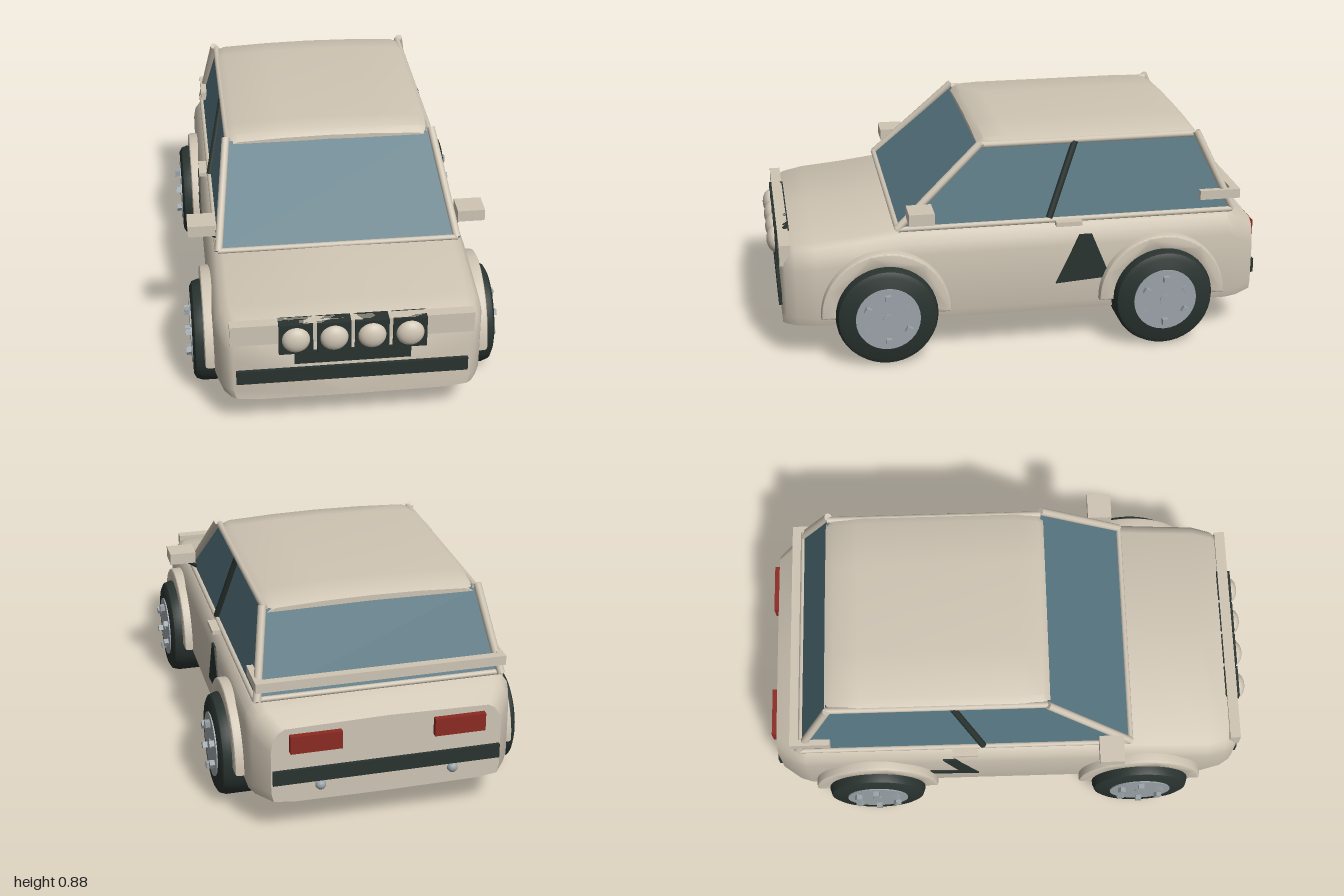
import * as THREE from 'three';
import { toCreasedNormals } from 'three/addons/utils/BufferGeometryUtils.js';

const mat = (name, color) => new THREE.MeshStandardMaterial({ name, color });

// Skin a list of cross-sections (front to back), each a right half outline from bottom to top
function loft(sections, crease) {
  const rings = sections.map(({ z, half }) => {
    const left = half.slice(1, -1).reverse().map(([x, y]) => [-x, y]);
    return [...half, ...left].map(([x, y]) => [x, y, z]);
  });
  const n = rings[0].length, pos = [], idx = [];
  rings.forEach((r) => r.forEach((p) => pos.push(...p)));
  for (let i = 0; i < rings.length - 1; i++) {
    for (let j = 0; j < n; j++) {
      const a = i * n + j, b = i * n + (j + 1) % n;
      idx.push(a, a + n, b, b, a + n, b + n);
    }
  }
  const last = (rings.length - 1) * n;
  for (let j = 1; j < n - 1; j++) {
    idx.push(0, j, j + 1, last, last + j + 1, last + j);
  }
  const g = new THREE.BufferGeometry();
  g.setAttribute('position', new THREE.Float32BufferAttribute(pos, 3));
  g.setIndex(idx);
  return toCreasedNormals(g, crease);
}

export function createModel() {
  const car = new THREE.Group();
  car.name = 'car';
  const paint = mat('cream paint', 0xcfc5b4);
  const glass = mat('blue glass', 0x567681);
  const dark = mat('dark rubber', 0x29332f);
  const metal = mat('grey metal', 0x9ca4a9);
  const red = mat('red lens', 0x8c2a23);

  const add = (name, geometry, material, parent = car) => {
    const m = new THREE.Mesh(geometry, material);
    m.name = name;
    parent.add(m);
    return m;
  };
  // Box given by its lower and upper corners
  const box = (name, material, [x0, y0, z0], [x1, y1, z1]) => {
    const g = new THREE.BoxGeometry(x1 - x0, y1 - y0, z1 - z0);
    return add(name, g.translate((x0 + x1) / 2, (y0 + y1) / 2, (z0 + z1) / 2), material);
  };
  // Round bar between two points
  const bar = (name, material, from, to, radius) => {
    const a = new THREE.Vector3(...from), b = new THREE.Vector3(...to);
    const dir = b.clone().sub(a);
    const m = add(name, new THREE.CylinderGeometry(radius, radius, dir.length(), 10), material);
    m.position.copy(a).add(b).multiplyScalar(0.5);
    m.quaternion.setFromUnitVectors(new THREE.Vector3(0, 1, 0), dir.normalize());
  };

  // Lower body: z, half width, top height
  const bodyRows = [
    [0.955, 0.455, 0.435], [0.94, 0.475, 0.465], [0.9, 0.5, 0.482], [0.82, 0.52, 0.493],
    [0.65, 0.522, 0.508], [0.46, 0.522, 0.532], [0, 0.522, 0.532], [-0.85, 0.522, 0.532],
    [-0.9, 0.505, 0.505], [-0.975, 0.45, 0.46],
  ];
  add('body', loft(bodyRows.map(([z, w, t]) => ({
    z,
    half: [[0, 0.14], [w * 0.8, 0.143], [w * 0.98, 0.153], [w, 0.19], [w, t - 0.1],
      [w * 0.985, t - 0.055], [w * 0.94, t - 0.02], [w * 0.88, t - 0.004], [0, t + 0.004]],
  })), 0.65), paint);
  box('floorPan', dark, [-0.355, 0.115, -0.83], [0.355, 0.15, 0.815]);

  // Glasshouse: a tapered box
  const cabin = new THREE.BoxGeometry(2, 1, 2);
  const p = cabin.attributes.position;
  for (let i = 0; i < p.count; i++) {
    const top = p.getY(i) > 0, front = p.getZ(i) > 0;
    p.setXYZ(i, Math.sign(p.getX(i)) * (top ? 0.41 : 0.48), top ? 0.835 : 0.525,
      front ? (top ? 0.15 : 0.5) : (top ? -0.73 : -0.865));
  }
  cabin.computeVertexNormals();
  add('windows', cabin, glass);

  // Crowned roof
  const roofRows = [[0.16, 0.412, 0.846], [0.135, 0.418, 0.868], [0.05, 0.42, 0.875],
    [-0.6, 0.42, 0.875], [-0.7, 0.418, 0.868], [-0.735, 0.412, 0.85]];
  add('roof', loft(roofRows.map(([z, w, t]) => ({
    z, half: [[0, 0.828], [w, 0.828], [w * 0.985, t - 0.027], [w * 0.9, t - 0.012], [w * 0.45, t - 0.003], [0, t]],
  })), 0.7), paint);

  // Cross rails at the foot of the front and rear screens
  bar('windscreenSill', paint, [-0.48, 0.533, 0.495], [0.48, 0.533, 0.495], 0.011);
  bar('rearScreenSill', paint, [-0.48, 0.533, -0.865], [0.48, 0.533, -0.865], 0.011);

  // Side graphics differ from left to right
  const graphics = {
    1: [[0.23, 0.477], [0.28, 0.477], [0.345, 0.32], [0.34, 0.287], [0.135, 0.273]],
    '-1': [[0.23, 0.477], [0.28, 0.477], [0.215, 0.311], [0.345, 0.32], [0.34, 0.287], [0.135, 0.273]],
  };

  // Half-ring wheel arch
  const arch = new THREE.Shape();
  arch.absarc(0, 0, 0.25, 0, Math.PI, false);
  arch.absarc(0, 0, 0.205, Math.PI, 0, true);
  const archGeo = toCreasedNormals(new THREE.ExtrudeGeometry(arch, {
    depth: 0.08, bevelEnabled: true, bevelSize: 0.008, bevelThickness: 0.012, bevelSegments: 2, curveSegments: 28,
  }).rotateY(Math.PI / 2).translate(-0.04, 0, 0), 0.6);

  // Tyre profile turned about the axle
  const tyreGeo = toCreasedNormals(new THREE.LatheGeometry(
    [[0, -0.09], [0.175, -0.09], [0.194, -0.08], [0.203, -0.055], [0.203, 0.055], [0.194, 0.08], [0.175, 0.09], [0, 0.09]]
      .map(([r, y]) => new THREE.Vector2(r, y)), 40).rotateZ(-Math.PI / 2), 0.6);
  const hubGeo = new THREE.CylinderGeometry(0.128, 0.128, 0.02, 32).rotateZ(-Math.PI / 2);
  const capGeo = new THREE.CylinderGeometry(0.022, 0.022, 0.02, 12).rotateZ(-Math.PI / 2);
  const boltGeo = new THREE.BoxGeometry(0.03, 0.024, 0.024);

  for (const s of [1, -1]) {
    for (const z of [0.55, -0.57]) {
      const wheel = new THREE.Group();
      wheel.name = 'wheel';
      add('tyre', tyreGeo, dark, wheel);
      add('hub', hubGeo, metal, wheel).position.x = 0.085;
      add('hubCap', capGeo, metal, wheel).position.x = 0.09;
      for (let k = 0; k < 6; k++) {
        const a = Math.PI / 2 + k * Math.PI / 3;
        const bolt = add('wheelBolt', boltGeo, metal, wheel);
        bolt.position.set(0.1, 0.092 * Math.sin(a), 0.092 * Math.cos(a));
        bolt.rotation.x = -a;
      }
      wheel.position.set(s * 0.51, 0.203, z);
      if (s < 0) wheel.rotation.y = Math.PI;
      car.add(wheel);
      add('wheelArch', archGeo, paint).position.set(s * 0.505, 0.203, z);
    }

    // Pillars and rails framing the windows
    bar('frontPillar', paint, [s * 0.478, 0.53, 0.495], [s * 0.42, 0.85, 0.15], 0.016);
    bar('rearPillar', paint, [s * 0.478, 0.53, -0.875], [s * 0.42, 0.85, -0.725], 0.016);
    bar('beltRail', paint, [s * 0.482, 0.53, 0.49], [s * 0.482, 0.53, -0.87], 0.011);
    bar('roofRail', paint, [s * 0.412, 0.838, 0.15], [s * 0.412, 0.838, -0.73], 0.013);
    bar('doorPillar', dark, [s * 0.482, 0.54, -0.113], [s * 0.415, 0.835, -0.228], 0.014);

    // Door mirror, handle and side graphic
    const side = (name, m, x0, x1, y0, y1, z0, z1) =>
      box(name, m, [Math.min(s * x0, s * x1), y0, z0], [Math.max(s * x0, s * x1), y1, z1]);
    side('mirror', paint, 0.485, 0.595, 0.582, 0.63, 0.36, 0.46);
    bar('mirrorStem', dark, [s * 0.47, 0.55, 0.41], [s * 0.525, 0.59, 0.41], 0.015);
    side('doorHandle', paint, 0.49, 0.526, 0.515, 0.533, -0.24, -0.135);
    const shape = new THREE.Shape(graphics[s].map(([x, y]) => new THREE.Vector2(x, y)));
    const graphic = new THREE.ExtrudeGeometry(shape, { depth: 0.008, bevelEnabled: false });
    add('sideGraphic', graphic.rotateY(Math.PI / 2), dark).position.x = s > 0 ? 0.52 : -0.528;

    // Rear lamp, bumper stud and spoiler end
    side('tailLamp', red, 0.18, 0.38, 0.36, 0.432, -0.998, -0.965);
    add('bumperStud', new THREE.SphereGeometry(0.021, 14, 10), metal).position.set(s * 0.26, 0.205, -0.975);
    side('spoilerEnd', paint, 0.462, 0.487, 0.577, 0.615, -0.9, -0.735);

    // Pairs of auxiliary lamps
    for (const x of [0.072, 0.217]) {
      side('lampHousing', dark, x - 0.065, x + 0.065, 0.355, 0.485, 0.91, 0.968);
      const lens = add('lampLens', new THREE.SphereGeometry(0.054, 24, 16), paint);
      lens.scale.z = 0.65;
      lens.position.set(s * x, 0.42, 0.965);
    }
  }

  // Nose panel, lamp bracket, bumpers and spoiler
  box('nosePanel', paint, [-0.465, 0.4, 0.915], [0.465, 0.485, 0.958]);
  box('lampBracket', dark, [-0.223, 0.305, 0.93], [0.223, 0.36, 0.964]);
  box('frontBumper', dark, [-0.445, 0.227, 0.94], [0.445, 0.285, 0.968]);
  box('rearBumper', dark, [-0.445, 0.227, -0.988], [0.445, 0.285, -0.96]);
  box('spoiler', paint, [-0.487, 0.577, -0.9], [0.487, 0.615, -0.865]);
  return car;
}
